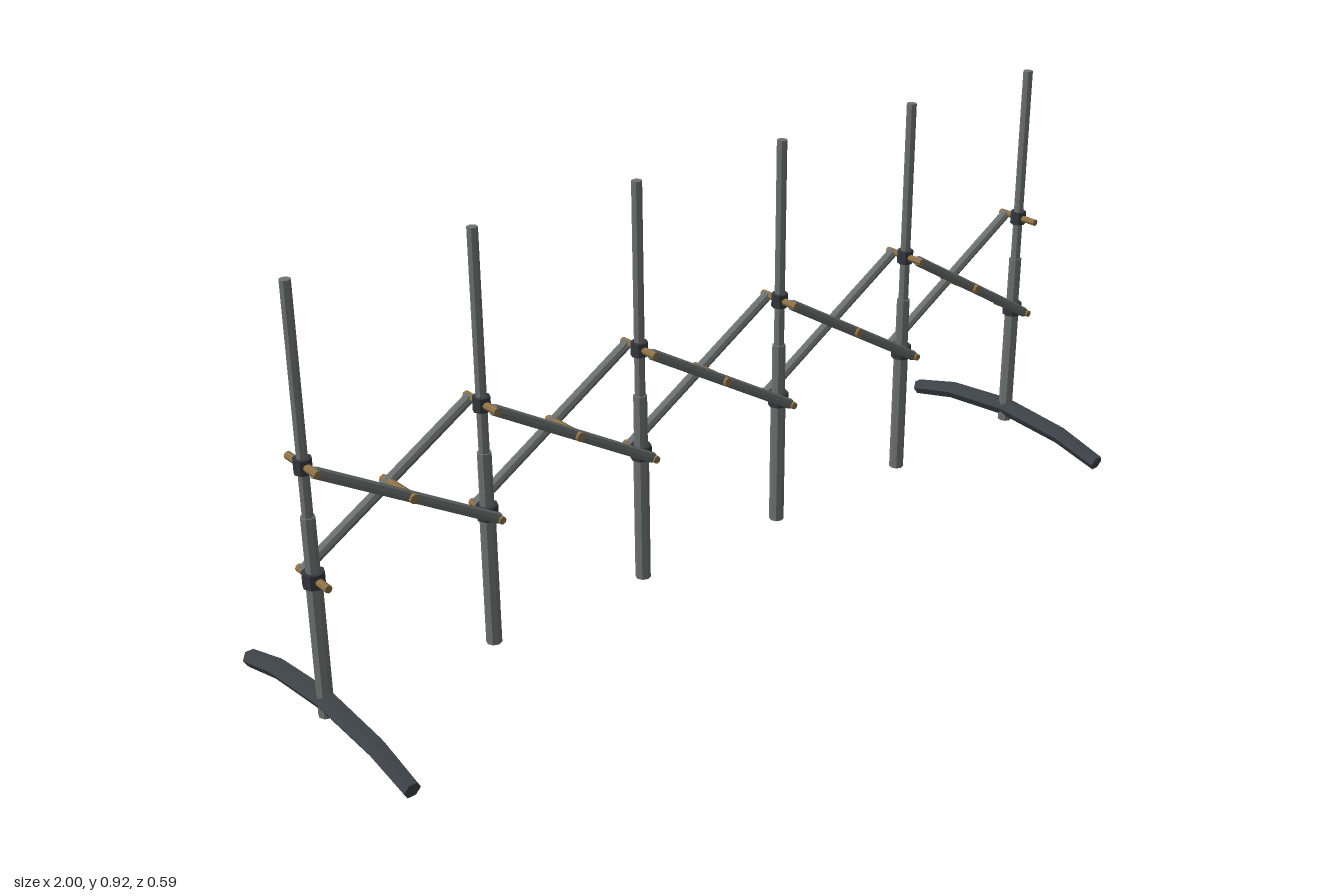
import * as THREE from 'three';

const POSTS = 6, END_X = 0.978, STEP = 2 * END_X / (POSTS - 1);
const LOW = 0.33, HIGH = 0.565, MID = (LOW + HIGH) / 2;

const material = (name, color) => {
  const m = new THREE.MeshStandardMaterial({ color });
  m.name = name;
  return m;
};

// Give every face its own flat normal
function faceted(geometry) {
  const g = geometry.toNonIndexed();
  g.computeVertexNormals();
  return g;
}

const rod = (radius, length, sides = 8) =>
  faceted(new THREE.CylinderGeometry(radius, radius, length, sides));

// Six-sided bar bent along a shallow arch in the yz plane
function archedFoot() {
  const stations = [ // z, y, tilt, size
    [-0.292, 0.016, -0.25, 0.85], [-0.175, 0.047, -0.17, 0.95], [0, 0.063, 0, 1],
    [0.175, 0.047, 0.17, 0.95], [0.292, 0.016, 0.25, 0.85],
  ];
  const g = new THREE.CylinderGeometry(0.0215, 0.0215, 1, 6, 4, false, Math.PI / 2);
  const p = g.attributes.position;
  for (let i = 0; i < p.count; i++) {
    const [z, y, tilt, size] = stations[Math.round((p.getY(i) + 0.5) * 4)];
    const h = -p.getZ(i) * size;
    p.setXYZ(i, p.getX(i) * size, y + h * Math.cos(tilt), z + h * Math.sin(tilt));
  }
  return faceted(g);
}

export function createModel() {
  const group = new THREE.Group();
  group.name = 'expandingBarrier';
  const steel = material('steel', 0x6c7270);
  const dark = material('darkCollar', 0x33373d);
  const rubber = material('footGrey', 0x3e4349);
  const brass = material('brass', 0x8c7148);

  const add = (parent, name, geometry, mat, x, y, z = 0) => {
    const mesh = new THREE.Mesh(geometry, mat);
    mesh.name = name;
    mesh.position.set(x, y, z);
    parent.add(mesh);
    return mesh;
  };

  const lowerTube = rod(0.0165, LOW - 0.03), sleeve = rod(0.0145, 0.46 - LOW);
  const upperRod = rod(0.011, 0.925 - 0.46);
  const lowCollar = rod(0.0225, 0.03), highCollar = rod(0.018, 0.03);
  const endPin = rod(0.008, 0.106).rotateX(Math.PI / 2);
  const crossPin = rod(0.01, 0.11).rotateX(Math.PI / 2);
  const foot = archedFoot();

  // Telescoping posts with collars and pivot pins
  for (let i = 0; i < POSTS; i++) {
    const post = new THREE.Group();
    post.name = 'post';
    post.position.x = -END_X + i * STEP;
    group.add(post);
    add(post, 'lowerTube', lowerTube, steel, 0, (0.03 + LOW) / 2);
    add(post, 'sleeve', sleeve, steel, 0, (LOW + 0.46) / 2);
    add(post, 'upperRod', upperRod, steel, 0, (0.46 + 0.925) / 2);
    add(post, 'lowerCollar', lowCollar, dark, 0, LOW);
    add(post, 'upperCollar', highCollar, dark, 0, HIGH);
    for (const y of [LOW, HIGH]) add(post, 'pivotPin', endPin, brass, 0, y);
    // Feet only under the two end posts
    if (i === 0 || i === POSTS - 1) add(post, 'foot', foot, rubber, 0, 0);
  }

  // Scissor bars: falling bar in front, rising bar behind, pinned where they cross
  const rise = HIGH - LOW;
  const bar = rod(0.0115, Math.hypot(STEP, rise));
  const lean = Math.atan2(STEP, rise);
  for (let i = 0; i < POSTS - 1; i++) {
    const x = -END_X + (i + 0.5) * STEP;
    add(group, 'frontBar', bar, steel, x, MID, 0.038).rotation.z = lean;
    add(group, 'backBar', bar, steel, x, MID, -0.038).rotation.z = -lean;
    add(group, 'crossingPin', crossPin, brass, x, MID);
  }
  return group;
}
